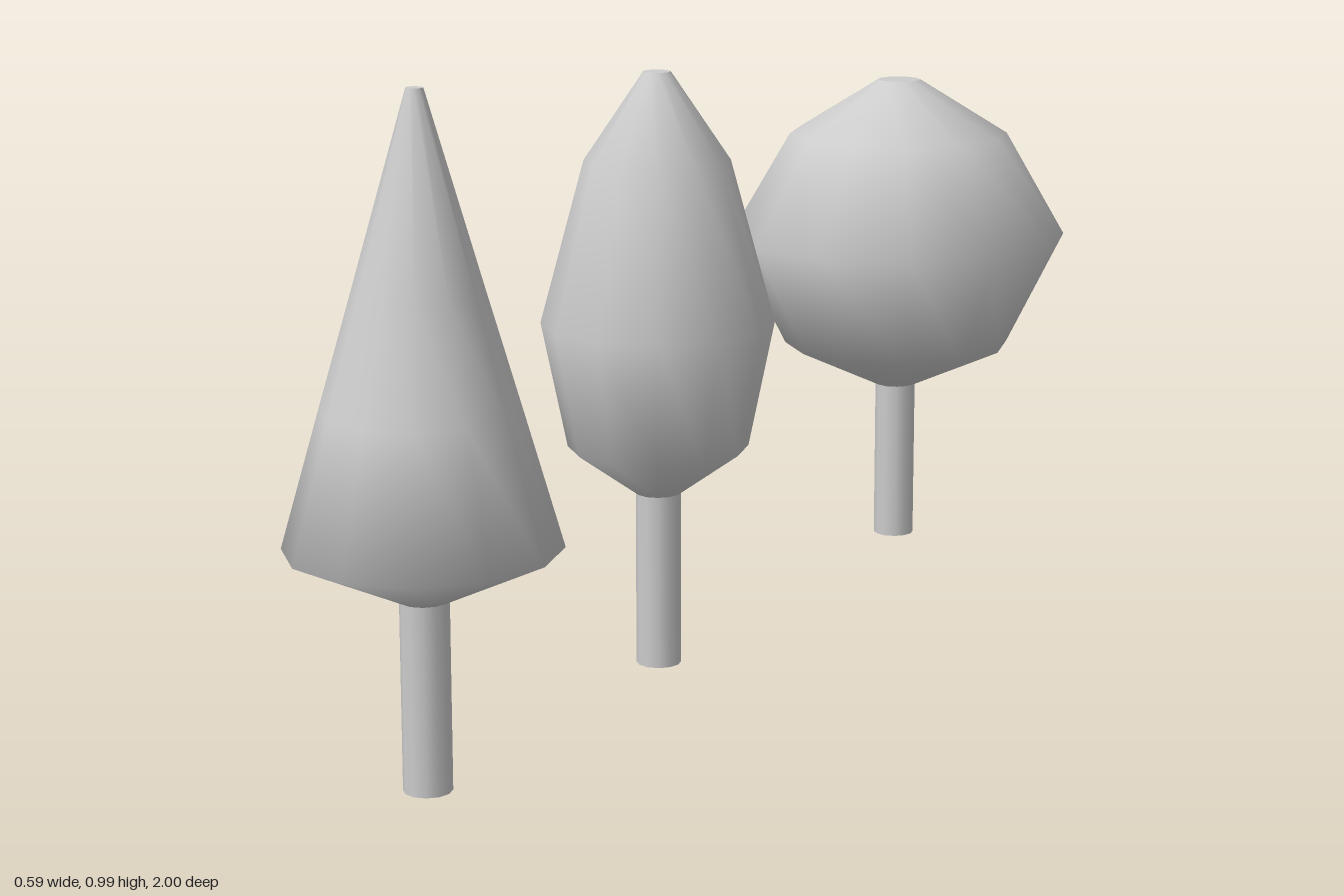
import * as THREE from 'three';

const SIDES = 12;
const TRUNK_RADIUS = 0.035;
const TRUNK_HEIGHT = 0.275;

// Crown profiles as [radius, height], from the trunk upwards
const TREES = [
  { name: 'coneTree', z: 0.805, crown: [[0.195, 0.35], [0.139, 0.545], [0.091, 0.71], [0.012, 0.985]] },
  { name: 'ovalTree', z: 0.153, crown: [[0.14, 0.35], [0.18, 0.545], [0.112, 0.797], [0.021, 0.932]] },
  { name: 'roundTree', z: -0.705, crown: [[0.197, 0.35], [0.295, 0.545], [0.191, 0.725], [0.037, 0.82]] },
];

export function createModel() {
  const model = new THREE.Group();
  model.name = 'treeRow';
  const material = new THREE.MeshStandardMaterial({ color: 0xcccccc });

  const add = (parent, name, geometry, y = 0) => {
    const mesh = new THREE.Mesh(geometry, material);
    mesh.name = name;
    mesh.position.y = y;
    parent.add(mesh);
    return mesh;
  };

  for (const { name, z, crown } of TREES) {
    const tree = new THREE.Group();
    tree.name = name;
    tree.position.z = z;

    // Straight trunk
    add(tree, 'trunk', new THREE.CylinderGeometry(TRUNK_RADIUS, TRUNK_RADIUS, TRUNK_HEIGHT, SIDES), TRUNK_HEIGHT / 2);

    // Smoothly shaded crown growing out of the trunk
    const profile = [[TRUNK_RADIUS, TRUNK_HEIGHT], ...crown].map(([r, y]) => new THREE.Vector2(r, y));
    add(tree, 'crown', new THREE.LatheGeometry(profile, SIDES));

    // Small flat tip
    const [tipRadius, tipHeight] = crown[crown.length - 1];
    add(tree, 'crownTip', new THREE.CircleGeometry(tipRadius, SIDES).rotateX(-Math.PI / 2), tipHeight);

    model.add(tree);
  }
  return model;
}
